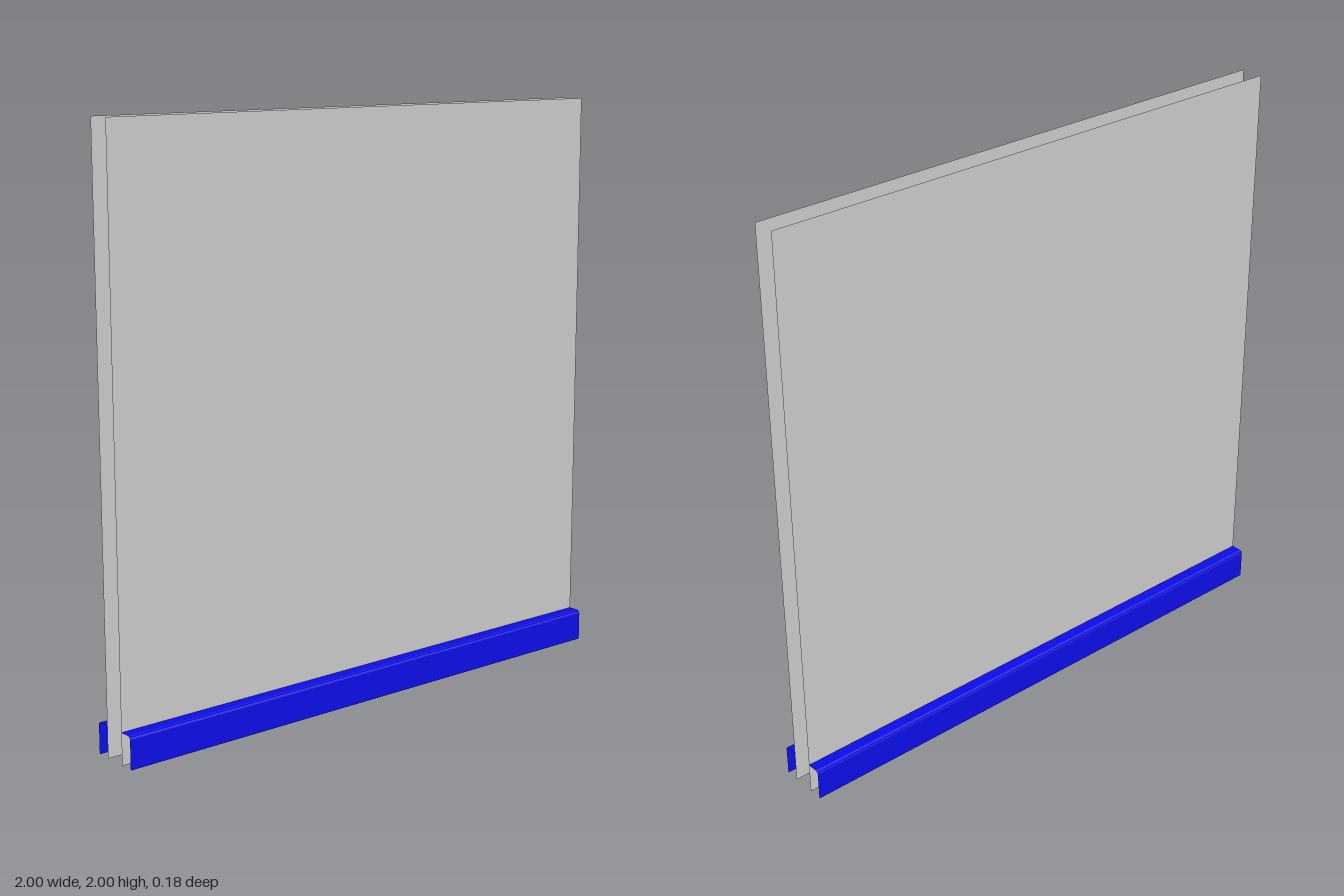
import * as THREE from 'three';

const HALF_GAP = 0.04;
// skirting cross-section from the wall outwards and down: [z, y]
const PROFILE = [[HALF_GAP, 0.11], [0.078, 0.11], [0.085, 0.107], [0.088, 0.1], [0.088, 0]];

// open strip that follows the profile along the whole wall
function skirtingGeometry() {
  const geometry = new THREE.PlaneGeometry(2, 1, 1, PROFILE.length - 1);
  const pos = geometry.attributes.position;
  for (let i = 0; i < pos.count; i++) {
    const [z, y] = PROFILE[Math.floor(i / 2)];
    pos.setXYZ(i, pos.getX(i), y, z);
  }
  const flat = geometry.toNonIndexed();
  flat.computeVertexNormals();
  return flat;
}

export function createModel() {
  const model = new THREE.Group();
  model.name = 'wallWithSkirting';
  const grey = new THREE.MeshStandardMaterial({ color: 0xcccccc, side: THREE.DoubleSide });
  const blue = new THREE.MeshStandardMaterial({ color: 0x0d0dea, side: THREE.DoubleSide });
  const wallGeometry = new THREE.PlaneGeometry(2, 2).translate(0, 1, HALF_GAP);
  const skirting = skirtingGeometry();

  // the same wall face and skirting on the front and, turned round, on the back
  for (const [side, angle] of [['front', 0], ['back', Math.PI]]) {
    const half = new THREE.Group();
    half.name = side + 'Side';
    const wall = new THREE.Mesh(wallGeometry, grey);
    wall.name = side + 'WallFace';
    const board = new THREE.Mesh(skirting, blue);
    board.name = side + 'Skirting';
    half.add(wall, board);
    half.rotation.y = angle;
    model.add(half);
  }
  return model;
}
